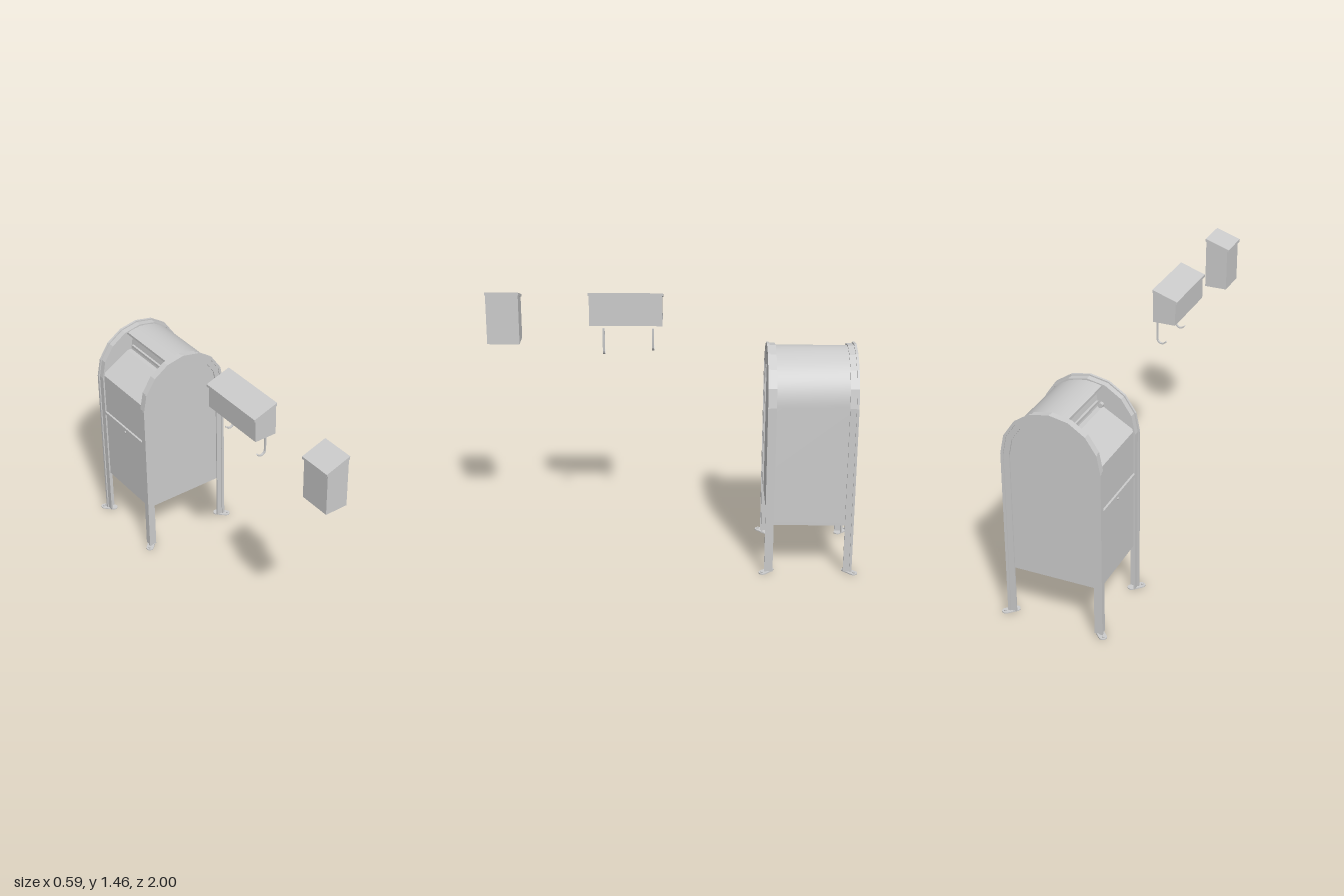
import * as THREE from 'three';
import { toCreasedNormals } from 'three/addons/utils/BufferGeometryUtils.js';

const material = new THREE.MeshStandardMaterial({ color: 0xcccccc, side: THREE.DoubleSide });
const ARCH_Y = 0.945; // height where the straight sides turn into the arch
const BOX_Z = -0.735; // centre of the street box

function add(parent, name, geometry, x = 0, y = 0, z = 0) {
  const mesh = new THREE.Mesh(geometry, material);
  mesh.name = name;
  mesh.position.set(x, y, z);
  parent.add(mesh);
  return mesh;
}

// Arch outline from the right foot, over the top, to the left foot
function archPoints(r, bottom, segments) {
  const pts = [new THREE.Vector2(r, bottom)];
  for (let i = 0; i <= segments; i++) {
    const a = (Math.PI * i) / segments;
    pts.push(new THREE.Vector2(r * Math.cos(a), ARCH_Y + r * Math.sin(a)));
  }
  pts.push(new THREE.Vector2(-r, bottom));
  return pts;
}

// Extrude a list of points between two z values
function slab(pts, z0, z1, crease = 0.5) {
  const geo = new THREE.ExtrudeGeometry(new THREE.Shape(pts), { depth: z1 - z0, bevelEnabled: false });
  geo.translate(0, 0, z0);
  return toCreasedNormals(geo, crease);
}

function archBand(outer, inner, z0, z1) {
  const pts = [...archPoints(outer, 0.004, 8), ...archPoints(inner, 0.004, 8).reverse()];
  return slab(pts, z0, z1, 0.1);
}

// One end: angle-iron frame with a raised bead, panel, and two feet
function endFrame() {
  const end = new THREE.Group();
  end.name = 'endFrame';
  add(end, 'frameBead', archBand(0.268, 0.253, 0.223, 0.236));
  add(end, 'frameFace', archBand(0.256, 0.222, 0.222, 0.231));
  add(end, 'frameSide', archBand(0.261, 0.252, 0.19, 0.226));
  add(end, 'endPanel', slab(archPoints(0.251, 0.275, 24), 0.205, 0.223));
  for (const side of [-1, 1]) {
    // Rounded plate lying diagonally under the leg
    const plate = new THREE.Shape();
    plate.absarc(0.028, 0, 0.021, -Math.PI / 2, Math.PI / 2, false);
    plate.absarc(-0.028, 0, 0.021, Math.PI / 2, 1.5 * Math.PI, false);
    const geo = new THREE.ExtrudeGeometry(plate, { depth: 0.006, bevelEnabled: false, curveSegments: 8 });
    geo.rotateX(-Math.PI / 2);
    const foot = new THREE.Group();
    foot.name = 'foot';
    foot.position.set(side * 0.255, 0, 0.225);
    foot.rotation.y = -side * Math.PI / 4;
    add(foot, 'footPlate', geo);
    add(foot, 'footBolt', new THREE.CylinderGeometry(0.007, 0.007, 0.006, 6), side * 0.033, 0.009, 0);
    end.add(foot);
  }
  return end;
}

function streetBox() {
  const box = new THREE.Group();
  box.name = 'streetBox';
  box.position.z = BOX_Z;

  // Body section: rounded hood, mail recess, sloping shelf and flat door side
  const pts = [[-0.25, 0.275], [0.25, 0.275]].map((p) => new THREE.Vector2(...p));
  const hoodEnd = Math.acos(-0.08 / 0.25);
  for (let i = 0; i <= 20; i++) {
    const a = (hoodEnd * i) / 20;
    pts.push(new THREE.Vector2(0.25 * Math.cos(a), ARCH_Y + 0.25 * Math.sin(a)));
  }
  for (const p of [[-0.08, 1.168], [-0.035, 1.178], [-0.055, 1.06], [-0.08, 1.06], [-0.25, 0.96]]) {
    pts.push(new THREE.Vector2(...p));
  }
  add(box, 'body', slab(pts, -0.206, 0.206));

  // Fittings on the door side
  add(box, 'doorLedge', new THREE.BoxGeometry(0.014, 0.018, 0.385), -0.254, 0.71, 0);
  const lock = add(box, 'lock', new THREE.CylinderGeometry(0.007, 0.007, 0.008, 12), -0.252, 0.68, 0);
  lock.rotation.z = Math.PI / 2;
  add(box, 'pullBar', new THREE.BoxGeometry(0.012, 0.014, 0.34), -0.066, 1.1, 0);
  const knob = add(box, 'hingeKnob', new THREE.CylinderGeometry(0.014, 0.014, 0.02, 12), -0.08, 1.08, 0.18);
  knob.rotation.x = Math.PI / 2;

  // Matching frames at both ends
  const front = endFrame();
  const back = endFrame();
  back.rotation.y = Math.PI;
  box.add(front, back);
  return box;
}

// Wall box with a sloping lid
function wallBox(name, bottom, z0, z1) {
  const box = new THREE.Group();
  box.name = name;
  const body = [[-0.225, bottom], [-0.1, bottom], [-0.1, 1.441], [-0.225, 1.4]];
  const lid = [[-0.235, 1.397], [-0.097, 1.442], [-0.097, 1.458], [-0.235, 1.411]];
  const vectors = (list) => list.map((p) => new THREE.Vector2(...p));
  add(box, 'wallBoxBody', slab(vectors(body), z0 + 0.004, z1 - 0.004));
  add(box, 'wallBoxLid', slab(vectors(lid), z0, z1));
  return box;
}

// J-shaped flat hook curling toward -x
function hook(z, top, low) {
  const r = 0.026;
  const t = 0.006;
  const shape = new THREE.Shape();
  const cx = -0.106 - r;
  const cy = low + r + t;
  const end = -Math.PI * 0.88;
  shape.moveTo(cx + r + t / 2, top);
  shape.lineTo(cx + r + t / 2, cy);
  shape.absarc(cx, cy, r + t / 2, 0, end, true);
  shape.absarc(cx, cy, r - t / 2, end, 0, false);
  shape.lineTo(cx + r - t / 2, top);
  const geo = new THREE.ExtrudeGeometry(shape, { depth: 0.012, bevelEnabled: false, curveSegments: 10 });
  geo.translate(0, 0, z - 0.006);
  return toCreasedNormals(geo, 0.6);
}

export function createModel() {
  const model = new THREE.Group();
  model.name = 'mailboxSet';
  model.add(streetBox());
  model.add(wallBox('uprightWallBox', 1.17, 0.818, 1.0));

  // Long wall box with a pair of newspaper hooks below
  const longBox = wallBox('longWallBox', 1.275, 0.052, 0.45);
  add(longBox, 'hook', hook(0.37, 1.26, 1.105));
  add(longBox, 'hook', hook(0.106, 1.26, 1.128));
  model.add(longBox);
  return model;
}
